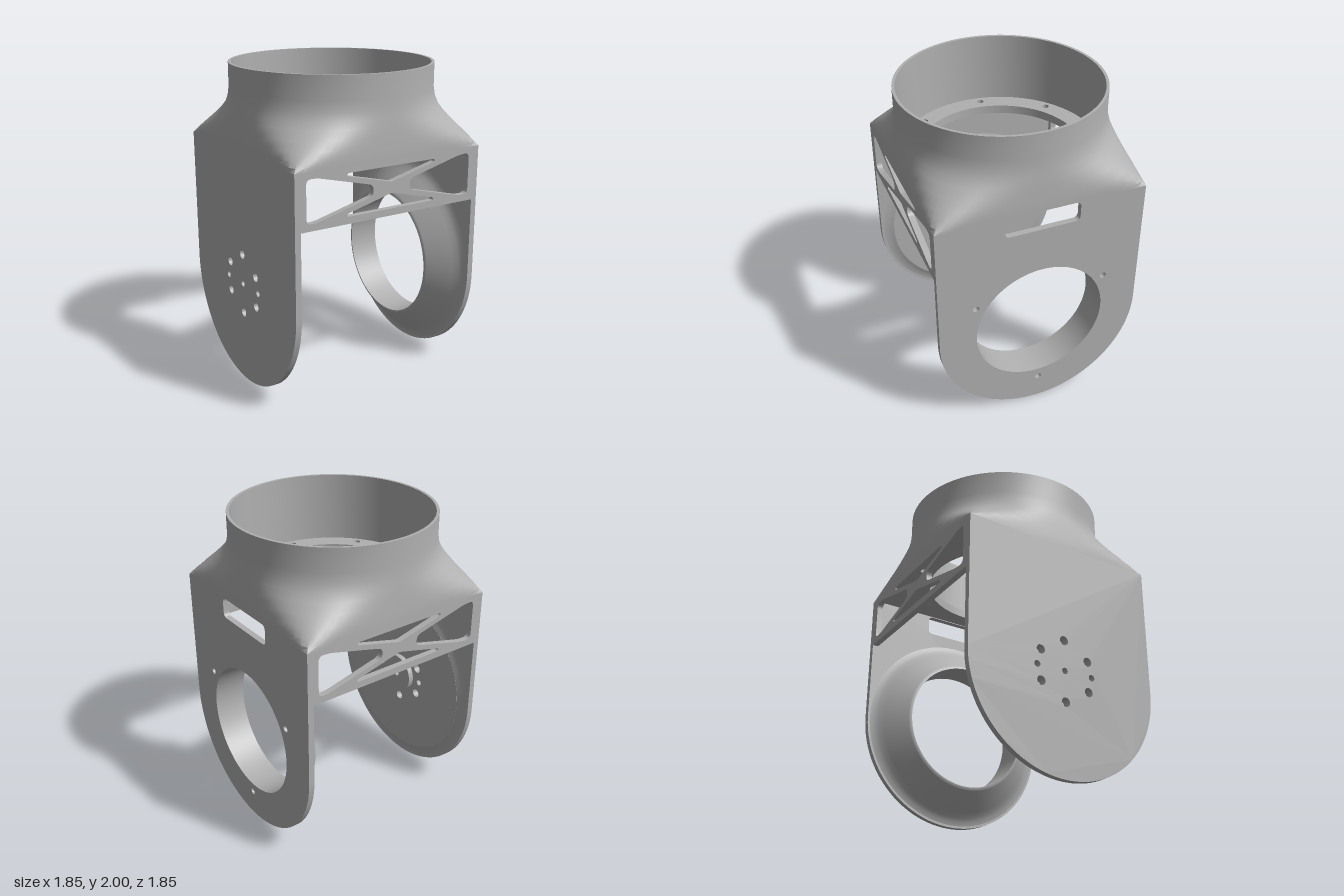
import * as THREE from 'three';
import { toCreasedNormals } from 'three/addons/utils/BufferGeometryUtils.js';

const S = 0.654;      // half width of the square body, also radius of the plate ends
const CY = 0.655;     // height of the hole centres
const T = 0.038;      // wall thickness
const TOP = 1.505;    // top of the walls
const RAD = Math.PI / 180;

const grey = new THREE.MeshStandardMaterial({ color: 0xb0b0b0, side: THREE.DoubleSide });
grey.name = 'grey';

function add(parent, name, geo) {
  const mesh = new THREE.Mesh(toCreasedNormals(geo, 0.6), grey);
  mesh.name = name;
  parent.add(mesh);
  return mesh;
}

function circle(x, y, r, Type = THREE.Path) {
  const p = new Type();
  p.absarc(x, y, r, 0, Math.PI * 2, false);
  return p;
}

function ringOfHoles(cy, radius, holeR, count, startDeg) {
  return Array.from({ length: count }, (_, i) => {
    const a = startDeg * RAD + (i / count) * Math.PI * 2;
    return circle(Math.cos(a) * radius, cy + Math.sin(a) * radius, holeR);
  });
}

// Closed outline with rounded corners
function rounded(points, r) {
  const p = new THREE.Path();
  const v = points.map(([x, y]) => new THREE.Vector2(x, y));
  v.forEach((c, i) => {
    const prev = v[(i + v.length - 1) % v.length], next = v[(i + 1) % v.length];
    const toward = (q) => c.clone().add(q.clone().sub(c).setLength(Math.min(r, q.distanceTo(c) * 0.45)));
    const a = toward(prev), b = toward(next);
    if (i === 0) p.moveTo(a.x, a.y); else p.lineTo(a.x, a.y);
    p.quadraticCurveTo(c.x, c.y, b.x, b.y);
  });
  p.closePath();
  return p;
}

function extrude(shape, holes, depth, segments = 48) {
  shape.holes.push(...holes);
  return new THREE.ExtrudeGeometry(shape, { depth, bevelEnabled: false, curveSegments: segments });
}

// Round-ended side plate, outer face at z = S
function plate(holes) {
  const s = new THREE.Shape();
  s.moveTo(S, TOP);
  s.lineTo(-S, TOP);
  s.lineTo(-S, S);
  s.absarc(0, S, S, Math.PI, Math.PI * 2, false);
  s.closePath();
  return extrude(s, holes, T).translate(0, 0, S - T);
}

// Turned part on the plate; profile is [radius, distance inward from the outer face]
function turned(profile) {
  const pts = profile.map(([r, h]) => new THREE.Vector2(r, h));
  return new THREE.LatheGeometry(pts, 96).rotateX(-Math.PI / 2).translate(0, CY, S);
}

// Wall with cross-braced windows
function truss() {
  const w = S - T + 0.002;
  const s = new THREE.Shape([[-w, 1.165], [w, 1.165], [w, TOP], [-w, TOP]].map((p) => new THREE.Vector2(...p)));
  const holes = [
    rounded([[-0.31, 1.465], [-0.31, 1.447], [0, 1.37], [0.31, 1.447], [0.31, 1.465]], 0.015),
    rounded([[-0.31, 1.208], [0.31, 1.208], [0.31, 1.226], [0, 1.303], [-0.31, 1.226]], 0.015),
  ];
  for (const k of [-1, 1]) {
    holes.push(rounded([[k * 0.58, 1.208], [k * 0.58, 1.465], [k * 0.51, 1.465],
      [k * 0.13, 1.37], [k * 0.13, 1.303], [k * 0.51, 1.208]], 0.035));
  }
  return extrude(s, holes, T, 8).rotateY(Math.PI / 2).translate(S - T, 0, 0);
}

// Square-to-round shoulder running up into the collar.
// Sections are superellipses: [height, 1 / exponent, half width]
function shoulder() {
  const rows = [[1.505, 0, 0.654], [1.53, 0.042, 0.654], [1.56, 0.094, 0.653], [1.6, 0.17, 0.651],
    [1.65, 0.275, 0.648], [1.7, 0.375, 0.645], [1.74, 0.44, 0.641], [1.79, 0.48, 0.637],
    [1.85, 0.5, 0.635], [2, 0.5, 0.635]];
  const N = 128, pos = [], idx = [];
  rows.forEach(([y, q, half], j) => {
    for (let i = 0; i <= N; i++) {
      const a = (i / N) * Math.PI * 2, c = Math.abs(Math.cos(a)), s = Math.abs(Math.sin(a));
      const norm = q === 0 ? Math.max(c, s) : Math.pow(Math.pow(c, 1 / q) + Math.pow(s, 1 / q), q);
      const r = half / norm;
      pos.push(r * Math.cos(a), y, r * Math.sin(a));
      if (j < rows.length - 1 && i < N) {
        const k = j * (N + 1) + i, up = k + N + 1;
        idx.push(k, up, k + 1, k + 1, up, up + 1);
      }
    }
  });
  const g = new THREE.BufferGeometry();
  g.setAttribute('position', new THREE.Float32BufferAttribute(pos, 3));
  g.setIndex(idx);
  g.computeVertexNormals();
  return g;
}

export function createModel() {
  const model = new THREE.Group();
  model.name = 'bracketHousing';
  const body = new THREE.Group();
  body.name = 'body';
  body.rotation.y = -43.8 * RAD;
  model.add(body);

  // Drilled plate with a shallow round pad and hub on its inner side
  const drilled = new THREE.Group();
  drilled.name = 'drilledPlate';
  body.add(drilled);
  const pattern = () => [
    ...ringOfHoles(CY, 0.195, 0.029, 6, 30),
    ...ringOfHoles(CY, 0.195, 0.021, 2, 0),
    circle(0, CY, 0.02),
  ];
  add(drilled, 'drilledWall', plate(pattern()));
  add(drilled, 'pad', extrude(circle(0, CY, 0.57, THREE.Shape), pattern(), 0.02).translate(0, 0, S - 0.058));
  add(drilled, 'padFillet', turned([[0.635, T], [0.61, 0.042], [0.59, 0.049], [0.568, 0.058]]));
  add(drilled, 'hub', extrude(circle(0, CY, 0.133, THREE.Shape), [circle(0, CY, 0.02)], 0.036)
    .translate(0, 0, S - 0.094));

  // Opposite plate with a large bore, flared boss and slot
  const bored = new THREE.Group();
  bored.name = 'boredPlate';
  bored.rotation.y = Math.PI;
  body.add(bored);
  add(bored, 'boredWall', plate([
    circle(0, CY, 0.418),
    ...ringOfHoles(CY, 0.483, 0.02, 3, 30),
    rounded([[-0.235, 1.37], [0.235, 1.37], [0.235, 1.5], [-0.235, 1.5]], 0.035),
  ]));
  add(bored, 'flaredBoss', turned([[0.64, T], [0.615, 0.045], [0.59, 0.06], [0.56, 0.085],
    [0.44, 0.198], [0.43, 0.205], [0.418, 0.207], [0.418, 0]]));

  // Braced walls joining the two plates
  for (const [name, turn] of [['trussFront', 0], ['trussBack', Math.PI]]) {
    add(body, name, truss()).rotation.y = turn;
  }

  // Shoulder, collar lining and inner mounting flange
  add(body, 'shoulder', shoulder());
  add(body, 'collarLining', new THREE.LatheGeometry(
    [[0.635, 2], [0.617, 2], [0.617, 1.55]].map((p) => new THREE.Vector2(...p)), 128));
  const flange = extrude(circle(0, 0, 0.625, THREE.Shape),
    [circle(0, 0, 0.497), ...ringOfHoles(0, 0.57, 0.022, 8, -8.2)], 0.055, 64);
  add(body, 'flange', flange.rotateX(-Math.PI / 2).translate(0, TOP, 0));
  const ceiling = new THREE.Shape([[-S, -S], [S, -S], [S, S], [-S, S]].map((p) => new THREE.Vector2(...p)));
  ceiling.holes.push(circle(0, 0, 0.62));
  add(body, 'ceiling', new THREE.ShapeGeometry(ceiling, 64).rotateX(Math.PI / 2).translate(0, TOP, 0));

  return model;
}
